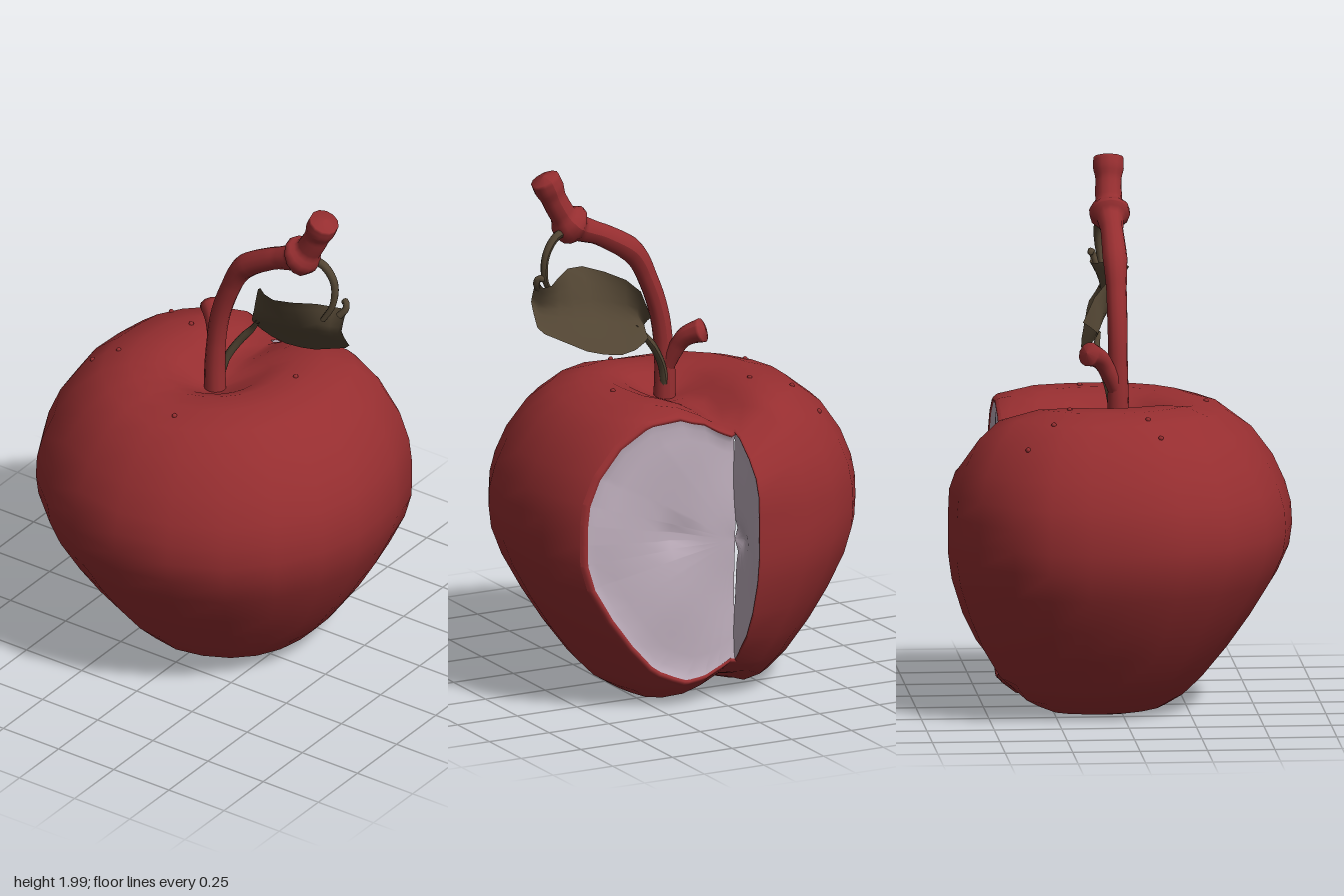
import * as THREE from 'three';

const mat = (name, color, side = THREE.FrontSide) => {
  const m = new THREE.MeshStandardMaterial({ color, side });
  m.name = name;
  return m;
};
const V = (x, y, z) => new THREE.Vector3(x, y, z);
const { smoothstep, lerp, clamp } = THREE.MathUtils;

// Position of the two faces of the missing wedge
const CUT_X = 0.43, CUT_Z = -0.065;

// Widest outline of the fruit seen from above, as [x, z]
const OUTLINE = [
  [0.635, -0.08], [0.62, -0.27], [0.55, -0.42], [0.43, -0.56], [0.3, -0.64], [0.15, -0.665],
  [-0.03, -0.675], [-0.2, -0.64], [-0.37, -0.55], [-0.52, -0.39], [-0.605, -0.21], [-0.645, 0],
  [-0.605, 0.21], [-0.51, 0.4], [-0.37, 0.54], [-0.2, 0.63], [-0.03, 0.67], [0.12, 0.665],
  [0.25, 0.645], [0.42, 0.595], [0.52, 0.48], [0.59, 0.3], [0.63, 0.13], [0.64, 0.02],
];
// Outline scale and height, from the bottom pole to the stem hollow
const PROFILE = [
  [0, 0.025], [0.15, 0.015], [0.3, 0.005], [0.4, 0.018], [0.5, 0.06], [0.6, 0.13], [0.73, 0.25],
  [0.84, 0.37], [0.94, 0.5], [0.99, 0.6], [1, 0.68], [0.995, 0.76], [0.97, 0.84], [0.91, 0.94],
  [0.8, 1.05], [0.66, 1.125], [0.5, 1.158], [0.35, 1.16], [0.24, 1.135], [0.13, 1.09], [0, 1.06],
];

function grid(rows, closed) {
  const n = rows[0].length, idx = [];
  for (let i = 0; i < rows.length - 1; i++) {
    for (let j = 0; j < (closed ? n : n - 1); j++) {
      const a = i * n + j, b = i * n + (j + 1) % n;
      idx.push(a, b, b + n, a, b + n, a + n);
    }
  }
  const g = new THREE.BufferGeometry().setFromPoints(rows.flat());
  g.setIndex(idx);
  g.computeVertexNormals();
  return g;
}

// Point on the fruit: it leans to one side, bulges beside the wedge and has
// a groove above and below that runs into the inner corner of the wedge
function fruitPoint([ox, oz], s, y) {
  const low = Math.max(0, 1 - y / 0.64), high = Math.max(0, y - 0.74) / 0.42;
  const lobe = Math.max(0, (ox * 0.85 + oz * 0.5) / Math.hypot(ox, oz)) ** 2;
  const lean = ((0.08 + 0.06 * lobe) * low + (0.03 + 0.06 * lobe) * high) * Math.min(1, s / 0.35);
  const x = ox * s + lean, z = oz * s;
  const groove = Math.exp(-(((z - CUT_Z) / (z > CUT_Z ? 0.15 : 0.08)) ** 2));
  const across = smoothstep(x, 0.05, 0.35);
  const up = 0.09 * across * smoothstep(y, 0.8, 1.1) + 0.02 * smoothstep(s, 0.1, 0.3) * smoothstep(y, 1.0, 1.15);
  const down = 0.08 * across * (1 - smoothstep(y, 0.05, 0.35));
  return V(x, y + groove * (down - up), z);
}

function fruitTriangles() {
  const rows = PROFILE.map(([s, y]) => OUTLINE.map(o => fruitPoint(o, s, y)));
  const g = grid(rows, true).toNonIndexed();
  const p = g.attributes.position, n = g.attributes.normal, tris = [];
  for (let i = 0; i < p.count; i += 3) {
    tris.push([0, 1, 2].map(k => ({
      p: V().fromBufferAttribute(p, i + k), n: V().fromBufferAttribute(n, i + k),
    })));
  }
  return tris;
}

// Keep the triangles on one side of a plane; cut collects the new edge points
function clip(tris, axis, limit, sign, cut = []) {
  const out = [];
  for (const t of tris) {
    const poly = [];
    t.forEach((a, k) => {
      const b = t[(k + 1) % 3];
      const da = sign * (a.p[axis] - limit), db = sign * (b.p[axis] - limit);
      if (da >= 0) poly.push(a);
      if ((da >= 0) !== (db >= 0)) {
        const f = da / (da - db);
        const v = { p: a.p.clone().lerp(b.p, f), n: a.n.clone().lerp(b.n, f).normalize() };
        poly.push(v);
        cut.push(v.p);
      }
    });
    for (let k = 1; k < poly.length - 1; k++) out.push([poly[0], poly[k], poly[k + 1]]);
  }
  return out;
}

function skinGeometry(tris) {
  const verts = tris.flat();
  const g = new THREE.BufferGeometry().setFromPoints(verts.map(v => v.p));
  g.setAttribute('normal', new THREE.Float32BufferAttribute(verts.flatMap(v => v.n.toArray()), 3));
  return g;
}

// Cut face fanned out from the inner corner line: a rounded rim of skin,
// then uneven flesh with a small core hollow. u, v span the face, w is its normal
function cutFace(points, centre, core, rim, u, v, w) {
  const ang = p => Math.atan2(p[v] - centre[v] + 1e-5, p[u] - centre[u] + 1e-5);
  const edge = points.slice().sort((a, b) => ang(a) - ang(b))
    .filter((p, i, all) => i === 0 || ang(p) - ang(all[i - 1]) > 1e-3);
  const ring = (k, out) => edge.map(e => {
    const p = centre.clone().lerp(e, k);
    p[w] += out(p);
    return p;
  });
  const uneven = p => 0.006 * Math.sin(11 * p[u]) * Math.cos(10 * p[v] + 1)
    - 0.025 * Math.exp(-((p[u] - core[u]) ** 2 + (p[v] - core[v]) ** 2) / 0.003);
  const lip = k => ring(1 - rim * k, () => rim * 0.3 * Math.sin(Math.PI * k * 0.8));
  const inner = [0.9, 0.8, 0.7, 0.6, 0.5, 0.4, 0.3, 0.2, 0.1].map(k => ring(k, uneven));
  return {
    rim: grid([lip(0), lip(0.25), lip(0.5), lip(0.75), lip(1)], false),
    flesh: grid([lip(1), ...inner, ring(0, () => 0)], false),
  };
}

// Tube whose radius follows [position along path, radius] stops
function taperTube(points, stops, n = 40, sides = 12) {
  const curve = new THREE.CatmullRomCurve3(points.map(p => V(...p)));
  const g = new THREE.TubeGeometry(curve, n, 1, sides);
  const pos = g.attributes.position, nor = g.attributes.normal;
  for (let i = 0; i <= n; i++) {
    const u = i / n, c = curve.getPointAt(u);
    let k = 1;
    while (k < stops.length - 1 && stops[k][0] < u) k++;
    const [u0, r0] = stops[k - 1], [u1, r1] = stops[k];
    const r = lerp(r0, r1, clamp((u - u0) / (u1 - u0), 0, 1));
    for (let j = 0; j <= sides; j++) {
      const q = i * (sides + 1) + j;
      const d = V().fromBufferAttribute(nor, q);
      pos.setXYZ(q, c.x + d.x * r, c.y + d.y * r, c.z + d.z * r);
    }
  }
  g.computeVertexNormals();
  return g;
}

function leafGeometry() {
  // Stations along the blade: z, lower edge, upper edge
  const stations = [
    [0.12, 1.335, 1.42], [0.14, 1.32, 1.51], [0.18, 1.3, 1.55], [0.24, 1.29, 1.575], [0.31, 1.3, 1.595],
    [0.38, 1.32, 1.6], [0.45, 1.355, 1.59], [0.5, 1.38, 1.575], [0.54, 1.4, 1.575], [0.565, 1.425, 1.6],
  ];
  return grid(stations.map(([z, lo, hi]) => Array.from({ length: 9 }, (_, j) => {
    const t = j / 8, y = lo + (hi - lo) * t;
    const fold = 0.03 * Math.abs(t - 0.5) * 2, wave = -0.06 * t * t * Math.cos((z - 0.32) * 14);
    return V(0.07 - 0.4 * (y - 1.33) + fold + wave, y, z);
  })), false);
}

export function createModel() {
  const red = mat('deep red', 0x962e30);
  const flesh = mat('pale flesh', 0xbfafbd, THREE.DoubleSide);
  const brown = mat('leaf brown', 0x524533, THREE.DoubleSide);
  const model = new THREE.Group();
  model.name = 'cutApple';
  const add = (name, geo, m) => {
    const mesh = new THREE.Mesh(geo, m);
    mesh.name = name;
    model.add(mesh);
    return mesh;
  };

  // Skin with a wedge taken out, and the two faces of the wedge
  const all = fruitTriangles(), sideCut = [], backCut = [];
  clip(clip(all, 'z', CUT_Z, 1), 'x', CUT_X, -1, sideCut);
  const backPart = clip(clip(all, 'x', CUT_X, 1), 'z', CUT_Z, -1, backCut);
  const skin = add('skin', skinGeometry([...clip(all, 'x', CUT_X, -1), ...backPart]), red);
  const corner = V(CUT_X, 0.62, CUT_Z);
  const side = cutFace(sideCut, corner, V(CUT_X, 0.66, 0.17), 0.045, 'y', 'z', 'x');
  const back = cutFace(backCut, corner, V(0.46, 0.62, CUT_Z), 0.02, 'x', 'y', 'z');
  add('sideCutRim', side.rim, red);
  add('sideCutFlesh', side.flesh, flesh);
  add('backCutRim', back.rim, red);
  add('backCutFlesh', back.flesh, flesh);

  // Small bumps on the skin
  const ray = new THREE.Raycaster();
  const spots = [[-0.12, -0.47], [-0.08, -0.38], [0.2, -0.25], [0.27, -0.39], [0.37, -0.45], [-0.33, 0.05], [0.12, 0.28]];
  for (const [x, z] of spots) {
    ray.set(V(x, 3, z), V(0, -1, 0));
    const hit = ray.intersectObject(skin)[0];
    if (hit) add('skinBump', new THREE.SphereGeometry(0.01, 8, 6), red).position.copy(hit.point);
  }

  // Curved stem with a knot near its end, and a stubby side branch
  add('stem', taperTube(
    [[0, 1.05, 0], [0, 1.2, 0], [0, 1.38, 0.02], [0, 1.52, 0.065], [0, 1.64, 0.13], [0, 1.72, 0.25],
      [0, 1.785, 0.39], [0, 1.85, 0.44], [-0.005, 1.985, 0.505]],
    [[0, 0.042], [0.2, 0.036], [0.45, 0.038], [0.56, 0.046], [0.7, 0.042], [0.765, 0.05], [0.785, 0.075],
      [0.815, 0.075], [0.84, 0.05], [0.92, 0.048], [0.95, 0.057], [0.988, 0.056], [1, 0]], 84), red);
  add('sideBranch', taperTube(
    [[0, 1.17, 0], [0.03, 1.24, -0.02], [0.07, 1.31, -0.05], [0.125, 1.345, -0.105]],
    [[0, 0.03], [0.5, 0.032], [0.8, 0.04], [0.95, 0.046], [1, 0]], 20), red);

  // Leaf with its stalk and the tendril that hangs from the knot
  add('leaf', leafGeometry(), brown);
  add('leafStalk', taperTube(
    [[0.02, 1.12, 0.01], [0.035, 1.2, 0.03], [0.06, 1.28, 0.075], [0.07, 1.33, 0.115], [0.06, 1.38, 0.15]],
    [[0, 0.016], [0.7, 0.015], [1, 0.008]], 18, 8), brown);
  add('tendril', taperTube(
    [[0.02, 1.77, 0.41], [0.03, 1.755, 0.47], [0.035, 1.69, 0.515], [0.025, 1.6, 0.515], [0.01, 1.53, 0.48]],
    [[0, 0.017], [0.6, 0.014], [1, 0.01]], 20, 8), brown);
  add('leafCurl', taperTube(
    [[0.03, 1.56, 0.54], [0.045, 1.59, 0.56], [0.055, 1.615, 0.555], [0.06, 1.6, 0.535]],
    [[0, 0.014], [0.9, 0.012], [1, 0]], 12, 8), brown);

  return model;
}
